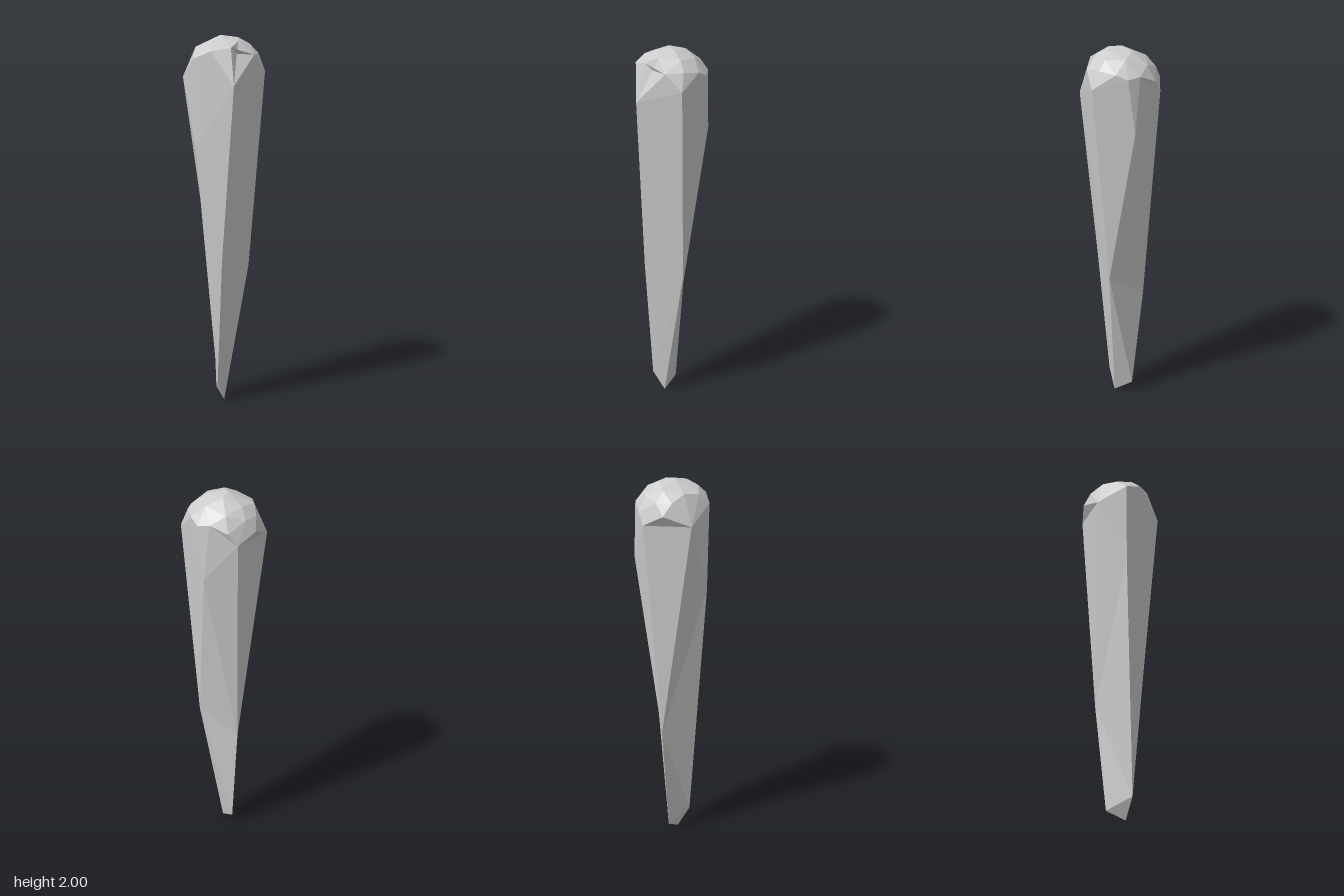
import * as THREE from 'three';
import { ConvexGeometry } from 'three/addons/geometries/ConvexGeometry.js';

// Cap corners sit on a sphere, so x and z are enough
const CAP_RADIUS = 0.222, CAP_CENTRE = 1.778;
const onCap = (x, z) => new THREE.Vector3(
  x, CAP_CENTRE + Math.sqrt(Math.max(0, CAP_RADIUS ** 2 - x * x - z * z)), z);
const at = (x, y, z) => new THREE.Vector3(x, y, z);

// Facet corners inside the cap
const crown = [
  [-0.016, -0.01], [0.04, -0.075], [-0.035, -0.135], [-0.13, -0.085], [-0.163, 0],
  [-0.037, 0.065], [-0.104, 0.077], [0.068, 0.032], [0.127, -0.054], [0.066, -0.157],
  [-0.105, -0.157], [-0.03, -0.187], [-0.08, -0.2], [0.073, -0.2], [0.127, 0.05],
  [0.17, 0.07], [0.19, -0.018],
].map(([x, z]) => onCap(x, z));

// Corners of the cap's rim, shared with the shaft
const rim = {
  b: onCap(0.193, 0.105), r: onCap(0.187, -0.08), t: onCap(0.145, -0.135),
  p: onCap(0.03, -0.22), q: onCap(-0.195, -0.107), f: onCap(-0.191, 0.055),
  w: onCap(-0.12, 0.126), l: onCap(-0.02, 0.157), m: onCap(0.036, 0.113),
  n: onCap(0.115, 0.147),
};

// Corners of the shaft: shoulder, middle and tip
const shaft = {
  ...rim,
  A: at(-0.025, 1.74, 0.217), G: at(0.17, 1.58, -0.115), E: at(-0.18, 1.41, 0.055),
  D: at(0.132, 0.75, 0.03), Q: at(-0.02, 0.62, -0.13), K: at(-0.06, 0.8, 0.132),
  H: at(-0.063, 0.11, 0.07), I: at(-0.01, 0, 0.03), J: at(-0.02, 0.05, -0.07),
};
const shaftFaces = [
  'qEf fEA fAw wAl lAm mAn nAb bGr rGt tGp', // up to the cap, with the front notch
  'ADb AKD EKA bDG GDQ GQp pQq qQE',         // long upper facets
  'KHD EHK EQH HID DIJ DJQ QJH HJI',         // lower facets and tip
].join(' ').split(' ');

// Flat-shaded mesh from a list of corners, three to a face
function facets(corners, material, name) {
  const geometry = new THREE.BufferGeometry().setFromPoints(corners);
  geometry.computeVertexNormals();
  const mesh = new THREE.Mesh(geometry, material);
  mesh.name = name;
  return mesh;
}

// Hull of the cap, leaving out the face over the front notch
function capCorners() {
  const hull = new ConvexGeometry([...crown, ...Object.values(rim)]).getAttribute('position');
  const notch = new THREE.Vector3().add(rim.l).add(rim.m).add(rim.n).divideScalar(3);
  const corners = [];
  for (let i = 0; i < hull.count; i += 3) {
    const face = [0, 1, 2].map((k) => new THREE.Vector3().fromBufferAttribute(hull, i + k));
    const middle = face[0].clone().add(face[1]).add(face[2]).divideScalar(3);
    if (middle.distanceTo(notch) > 0.005) corners.push(...face);
  }
  return corners;
}

export function createModel() {
  const stone = new THREE.MeshStandardMaterial({ color: 0xcccccc });
  stone.name = 'pale grey stone';

  const group = new THREE.Group();
  group.name = 'spike';
  group.add(
    facets(capCorners(), stone, 'cap'),
    facets(shaftFaces.flatMap((face) => [...face].map((key) => shaft[key])), stone, 'shaft'),
  );
  return group;
}
